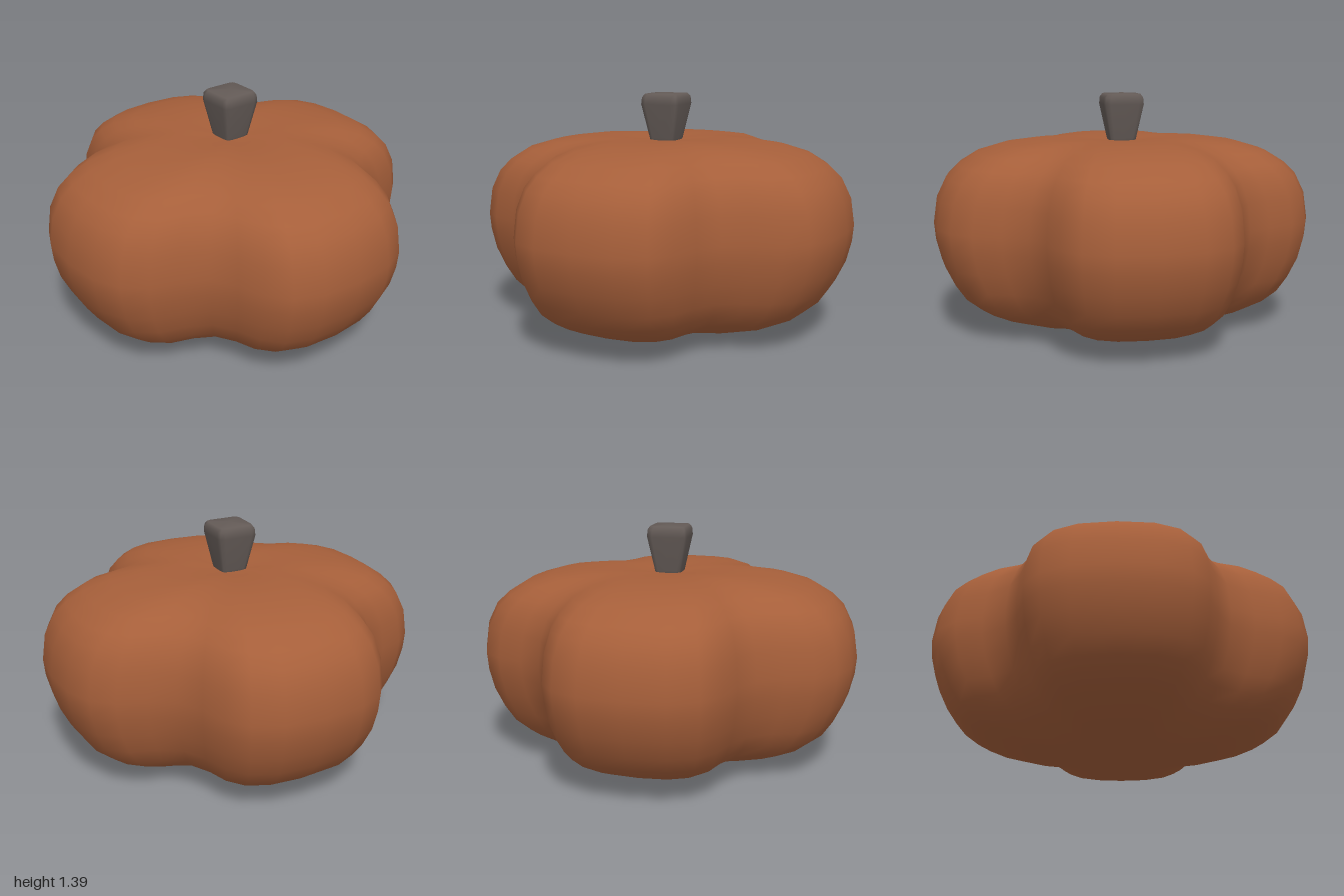
import * as THREE from 'three';

// Smooth closed loft: a polar outline [angle, radius] scaled through [scale, y] rings, bottom to top.
function loft(outline, profile) {
  const n = outline.length, rings = profile.length - 2;
  const pos = [0, profile[0][1], 0], index = [];
  for (const [s, y] of profile.slice(1, -1)) {
    for (const [a, r] of outline) pos.push(s * r * Math.sin(a), y, s * r * Math.cos(a));
  }
  pos.push(0, profile[rings + 1][1], 0);
  const top = 1 + rings * n;
  for (let i = 0; i < n; i++) {
    const j = (i + 1) % n;
    index.push(0, 1 + j, 1 + i);
    for (let k = 0; k < rings - 1; k++) {
      const a = 1 + k * n + i, b = 1 + k * n + j;
      index.push(a, b, b + n, a, b + n, a + n);
    }
    index.push(top, top - n + i, top - n + j);
  }
  const g = new THREE.BufferGeometry();
  g.setAttribute('position', new THREE.Float32BufferAttribute(pos, 3));
  g.setIndex(index);
  g.computeVertexNormals();
  return g;
}

// Repeats a quarter outline, given in degrees, four times around.
function fourfold(quarter) {
  const out = [];
  for (let q = 0; q < 4; q++) {
    for (const [deg, r] of quarter) out.push([THREE.MathUtils.degToRad(deg + q * 90), r]);
  }
  return out;
}

export function createModel() {
  const skin = new THREE.MeshStandardMaterial({ color: 0xa65f3a });
  skin.name = 'pumpkin skin';
  const wood = new THREE.MeshStandardMaterial({ color: 0x635a56 });
  wood.name = 'stem grey';

  // Four fat lobes on the diagonals, with grooves between them
  const half = [[0, 0.87], [9.7, 0.925], [17, 1.03], [24.2, 1.097], [33, 1.12]];
  const mirrored = half.slice(1).reverse().map(([d, r]) => [90 - d, r]);
  const lobes = fourfold([...half, [45, 1.117], ...mirrored]);
  const body = new THREE.Mesh(loft(lobes, [
    [0, 0.02], [0.15, 0.01], [0.31, 0.005], [0.5, 0.04], [0.675, 0.1], [0.78, 0.155],
    [0.86, 0.225], [0.915, 0.315], [0.965, 0.43], [0.992, 0.55], [1, 0.65], [0.98, 0.805],
    [0.93, 0.92], [0.865, 0.99], [0.77, 1.055], [0.635, 1.1], [0.47, 1.125], [0.31, 1.132],
    [0.15, 1.122], [0, 1.112],
  ]), skin);
  body.name = 'pumpkinBody';

  // Flared square stem, corners pointing along the axes
  const diamond = fourfold([[0, 1], [10, 0.925], [45, 0.757], [80, 0.925]]);
  const stem = new THREE.Mesh(loft(diamond, [
    [0, 1.06], [0.085, 1.06], [0.105, 1.13], [0.158, 1.33], [0.153, 1.37], [0.135, 1.39], [0, 1.397],
  ]), wood);
  stem.name = 'stem';

  const model = new THREE.Group();
  model.name = 'pumpkin';
  model.add(body, stem);
  return model;
}
